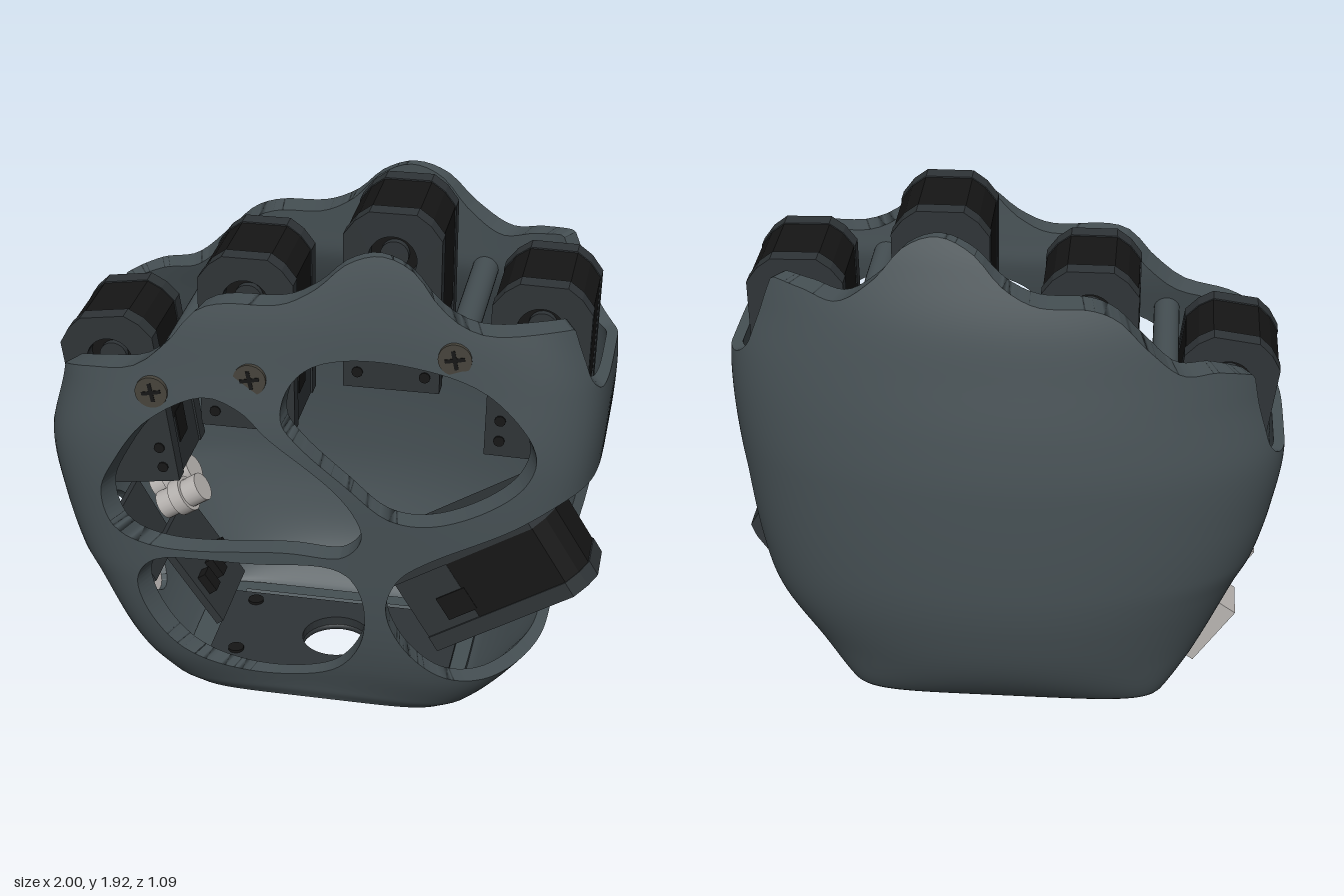
import * as THREE from 'three';
import { mergeVertices } from 'three/addons/utils/BufferGeometryUtils.js';

const mat = (color, side = THREE.FrontSide) => new THREE.MeshStandardMaterial({ color, side });
const SHELL = mat(0x465054), RIM = mat(0x465054, THREE.DoubleSide), BLACK = mat(0x161616);
const DARK = mat(0x2f3437), PALE = mat(0xb9b5b2), BRASS = mat(0x47443c);

function add(parent, name, geo, material, pos = [0, 0, 0], rot = [0, 0, 0]) {
  const m = new THREE.Mesh(geo, material);
  m.name = name;
  m.position.set(...pos);
  m.rotation.set(...rot);
  parent.add(m);
  return m;
}

// Smooth curve through [t, value] pairs
function curve(p) {
  const slope = i => {
    const a = p[Math.max(i - 1, 0)], b = p[Math.min(i + 1, p.length - 1)];
    return (b[1] - a[1]) / (b[0] - a[0]);
  };
  return t => {
    t = Math.min(Math.max(t, p[0][0]), p[p.length - 1][0]);
    let i = 0;
    while (i < p.length - 2 && t > p[i + 1][0]) i++;
    const h = p[i + 1][0] - p[i][0], s = (t - p[i][0]) / h, s2 = s * s, s3 = s2 * s;
    return (2 * s3 - 3 * s2 + 1) * p[i][1] + (s3 - 2 * s2 + s) * h * slope(i)
      + (3 * s2 - 2 * s3) * p[i + 1][1] + (s3 - s2) * h * slope(i + 1);
  };
}

// Palm extents and wall thickness by height
const xLeft = curve([[0, .52], [.05, .59], [.2, .72], [.4, .86], [.6, .92], [.9, .965], [1.2, .995], [1.4, .99], [1.6, .94], [1.95, .9]]);
const xRight = curve([[0, .55], [.05, .61], [.2, .72], [.5, .86], [.6, .91], [.8, .965], [1.05, 1], [1.3, .95], [1.95, .9]]);
const zFront = curve([[0, .385], [.05, .43], [.2, .5], [.4, .54], [.7, .555], [1.1, .555], [1.4, .515], [1.6, .485], [1.83, .43], [1.95, .38]]);
const zBack = curve([[0, .28], [.05, .36], [.2, .46], [.4, .52], [.6, .545], [1, .54], [1.2, .515], [1.4, .475], [1.6, .43], [1.8, .36], [1.95, .3]]);
const wallFront = curve([[0, .04], [.3, .08], [1.2, .09], [1.5, .12], [1.6, .1], [1.83, .035], [1.95, .02]]);
const wallBack = curve([[0, .04], [1, .05], [1.3, .11], [1.5, .155], [1.6, .14], [1.8, .075], [1.95, .02]]);
// Knuckle lines by x on the palm side and on the back of the hand
const palmTop = curve([[-1, 1.25], [-.9, 1.33], [-.8, 1.365], [-.62, 1.4], [-.5, 1.5], [-.42, 1.6], [-.33, 1.635], [-.12, 1.64], [0, 1.7],
  [.1, 1.79], [.22, 1.83], [.34, 1.79], [.42, 1.7], [.5, 1.64], [.6, 1.61], [.88, 1.62], [1, 1.55]]);
const backTop = curve([[-1, 1.27], [-.9, 1.37], [-.75, 1.43], [-.62, 1.44], [-.5, 1.54], [-.4, 1.64], [-.3, 1.68], [-.12, 1.69], [0, 1.75],
  [.1, 1.85], [.22, 1.9], [.34, 1.86], [.44, 1.75], [.57, 1.665], [.7, 1.69], [.85, 1.7], [.97, 1.62]]);
const frontZ = (x, y) => zFront(y) - .055 * Math.exp(-((x / .4) ** 2)) * (1 - Math.exp(-y / .1));

// Horizontal section: boxy at the palm, elliptical at the back of the hand, squarer at the wrist
function section(y, a, inset = 0) {
  const c = Math.cos(a), s = Math.sin(a), n = s > 0 ? 6 : 2.08 + 5 * Math.exp(-y / .07), cz = -.1;
  const r = (Math.abs(c) ** n + Math.abs(s) ** n) ** (-1 / n);
  const x = r * c * ((c > 0 ? xLeft(y) : xRight(y)) - .04 * inset);
  const depth = s > 0 ? frontZ(x, y) - wallFront(y) * inset - cz : zBack(y) - wallBack(y) * inset + cz;
  return [x, y, cz + r * s * depth];
}

// Signed distance to a smooth closed outline, positive outside
function outline(points) {
  const pts = new THREE.CatmullRomCurve3(points.map(p => new THREE.Vector3(p[0], p[1], 0)), true, 'centripetal').getPoints(70);
  return (x, y) => {
    let d = Infinity, inside = false;
    for (let i = 0; i < pts.length - 1; i++) {
      const a = pts[i], b = pts[i + 1], ex = b.x - a.x, ey = b.y - a.y;
      const t = Math.min(1, Math.max(0, ((x - a.x) * ex + (y - a.y) * ey) / (ex * ex + ey * ey || 1)));
      d = Math.min(d, Math.hypot(x - a.x - ex * t, y - a.y - ey * t));
      if ((a.y > y) !== (b.y > y) && x < a.x + ex * (y - a.y) / ey) inside = !inside;
    }
    return inside ? -d : d;
  };
}
const palmWindows = [
  [[-.76, .9], [-.7, 1.04], [-.58, 1.2], [-.38, 1.3], [-.25, 1.25], [-.16, 1.16], [.12, .93], [.18, .8], [.11, .705], [-.1, .7], [-.58, .7], [-.72, .76]],
  [[-.11, 1.22], [-.09, 1.34], [0, 1.43], [.28, 1.475], [.6, 1.41], [.78, 1.2], [.74, 1.07], [.46, .9], [.28, .89], [.12, 1], [-.04, 1.13]],
  [[-.64, .55], [-.57, .64], [-.2, .645], [.11, .64], [.18, .54], [.175, .34], [.06, .18], [-.2, .13], [-.47, .22], [-.61, .4]],
].map(outline);
const thumbWindow = outline([[.27, .5], [.31, .64], [.42, .74], [.7, .9], [.95, 1.04], [1.2, 1.06], [1.2, .38], [.86, .355], [.75, .28], [.63, .225], [.48, .23], [.34, .34]]);

// Intersection of two cuts with a rounded corner
function roundMax(a, b, r) {
  return Math.hypot(Math.max(a + r, 0), Math.max(b + r, 0)) + Math.min(Math.max(a, b) + r, 0) - r;
}

// Positive where the shell has material
function material(x, y, z) {
  let f = (z < 0 ? backTop : palmTop)(x) - y;
  if (z > .2) for (const w of palmWindows) f = Math.min(f, w(x, y));
  if (x > 0) f = Math.min(f, roundMax(thumbWindow(x, y), -.2 - z, .13));
  else f = Math.min(f, Math.max(.15 * (Math.hypot((y - .4) / .2, (z - .07) / .15) - 1), x + .55));
  const slot = roundMax(Math.abs(z - .065) - .315, (x > 0 ? 1.38 : 1.05) - y, .08);
  return Math.min(f, Math.max(slot, .7 - Math.abs(x)));
}

// Hollow shell: every triangle is trimmed at the window edges, then rimmed
function buildShell(group) {
  const U = 180, V = 110, out = [], inn = [], rim = [], rows = [];
  for (let j = 0; j <= V; j++) {
    const y = 1.95 * (j / V) ** 1.2, row = [];
    for (let i = 0; i < U; i++) {
      const a = i / U * Math.PI * 2, o = section(y, a);
      row.push({ o, i: section(y, a, 1), f: material(...o) });
    }
    rows.push(row);
  }
  const mix = (a, b, t) => a.map((v, k) => v + (b[k] - v) * t);
  const trim = tri => {
    const poly = [], cut = [];
    tri.forEach((a, k) => {
      const b = tri[(k + 1) % 3];
      if (a.f > 0) poly.push(a);
      if ((a.f > 0) !== (b.f > 0)) {
        const t = a.f / (a.f - b.f), p = { o: mix(a.o, b.o, t), i: mix(a.i, b.i, t) };
        poly.push(p);
        cut.push(p);
      }
    });
    for (let k = 1; k < poly.length - 1; k++) {
      out.push(...poly[0].o, ...poly[k].o, ...poly[k + 1].o);
      inn.push(...poly[0].i, ...poly[k + 1].i, ...poly[k].i);
    }
    if (cut.length === 2) {
      const [p, q] = cut;
      rim.push(...p.o, ...q.o, ...q.i, ...p.o, ...q.i, ...p.i);
    }
  };
  for (let j = 0; j < V; j++) for (let i = 0; i < U; i++) {
    const n = (i + 1) % U, a = rows[j][i], b = rows[j][n], c = rows[j + 1][n], d = rows[j + 1][i];
    trim([a, d, c]);
    trim([a, c, b]);
  }
  [['outerShell', out, SHELL], ['innerShell', inn, RIM], ['shellRim', rim, RIM]].forEach(([name, pos, m]) => {
    let g = new THREE.BufferGeometry();
    g.setAttribute('position', new THREE.Float32BufferAttribute(pos, 3));
    g = mergeVertices(g, 1e-5);
    g.computeVertexNormals();
    add(group, name, g, m);
  });
}

const circleHole = (x, y, r) => new THREE.Path().absarc(x, y, r, 0, Math.PI * 2, true);
const corners = pts => pts.map(p => new THREE.Vector2(...p));
const extrude = (shape, depth) => new THREE.ExtrudeGeometry(shape, { depth, bevelEnabled: false, curveSegments: 20 });
const disc = (r, h, seg = 24) => new THREE.CylinderGeometry(r, r, h, seg).rotateX(Math.PI / 2);

// Finger drive: chamfered block with black core, grey cheeks and hubs; its top is the origin
function motor(name, pos, rot) {
  const g = new THREE.Group(), H = .67;
  g.name = name;
  const block = (w, top, bottom, c) => new THREE.Shape(corners([[-w, bottom], [w, bottom], [w, top - c], [w - c * .45, top - c * .4],
    [w - c, top], [c - w, top], [c * .45 - w, top - c * .4], [-w, top - c]]));
  add(g, 'motorCore', extrude(block(.168, -.005, -.45, .085), .25), BLACK, [0, 0, -.125]);
  add(g, 'motorFoot', extrude(block(.165, -.45, -H, .002), .25), DARK, [0, 0, -.125]);
  for (const s of [-1, 1]) {
    const cheek = block(.172, 0, -H, .09);
    cheek.holes.push(circleHole(0, -.17, .085));
    add(g, 'motorCheek', extrude(cheek, .065), DARK, [0, 0, s > 0 ? .125 : -.19]);
    add(g, 'motorHub', disc(.05, .03), DARK, [0, -.17, s * .135]);
    add(g, 'stepPanel', new THREE.BoxGeometry(.02, .12, .1), BLACK, [s * .16, -.5, .04]);
    for (const x of [-.12, .12]) for (const y of [-.53, -.61])
      add(g, 'motorScrew', disc(.02, .01, 12), BLACK, [x, y, s * .191]);
  }
  g.position.set(...pos);
  g.rotation.set(...rot, 'ZYX');
  return g;
}

export function createModel() {
  const hand = new THREE.Group();
  hand.name = 'roboticPalm';
  buildShell(hand);

  // Base: open floor rim with a narrower wrist plate across it
  const foot = [];
  for (let i = 0; i < 64; i++) {
    const p = section(0, i / 64 * Math.PI * 2);
    foot.push(new THREE.Vector2(p[0], -p[2]));
  }
  const floor = new THREE.Shape(foot);
  floor.holes.push(new THREE.Path(corners([[-.42, -.34], [-.42, .22], [.42, .22], [.42, -.34]])));
  add(hand, 'floorRim', extrude(floor, .05).rotateX(-Math.PI / 2), SHELL);
  const plate = new THREE.Shape(corners([[-.46, -.29], [.46, -.29], [.46, .18], [-.46, .18]]));
  plate.holes.push(circleHole(0, -.06, .13));
  add(hand, 'wristPlate', extrude(plate, .05).rotateX(-Math.PI / 2), DARK, [0, .015, 0]);
  add(hand, 'wristRing', new THREE.TorusGeometry(.14, .015, 8, 40).rotateX(Math.PI / 2), DARK, [0, .02, .06]);
  for (const x of [-.36, .36]) for (const z of [-.12, .22])
    add(hand, 'baseScrew', new THREE.CylinderGeometry(.03, .03, .07, 16), BLACK, [x, .04, z]);

  // Four finger drives and the thumb drive
  hand.add(motor('littleFingerMotor', [-.81, 1.45, .07], [0, 0, .14]));
  hand.add(motor('ringFingerMotor', [-.29, 1.71, .04], [0, 0, 0]));
  hand.add(motor('middleFingerMotor', [.23, 1.92, .04], [0, 0, 0]));
  hand.add(motor('indexFingerMotor', [.755, 1.71, .07], [0, 0, -.02]));
  hand.add(motor('thumbMotor', [.895, .695, .085], [0, Math.PI / 2, -1.02]));

  // Posts across the hollow with cross-head screws on the palm
  for (const [x, y, back] of [[-.56, 1.31, -.32], [-.22, 1.37, .22], [.49, 1.52, -.32]]) {
    const z = frontZ(x, y), front = z - .03;
    add(hand, 'crossPost', disc(.048, front - back), SHELL, [x, y, (front + back) / 2]);
    add(hand, 'screwHead', disc(.058, .03), BRASS, [x, y, z - .01]);
    for (const r of [0, Math.PI / 2])
      add(hand, 'screwSlot', new THREE.BoxGeometry(.07, .014, .004), BLACK, [x, y, z + .005], [0, 0, r + .2]);
  }

  // Cable connector, plugs and circuit board
  add(hand, 'connectorBlock', new THREE.BoxGeometry(.1, .27, .18), PALE, [-.745, .18, .03], [0, 0, .6]);
  add(hand, 'connectorSocket', new THREE.CylinderGeometry(.045, .045, .02, 20), BLACK, [-.667, .066, .03], [0, 0, .6]);
  add(hand, 'sideClip', new THREE.BoxGeometry(.06, .1, .08), PALE, [-.87, .47, .05], [0, 0, .6]);
  for (const [x, y, z] of [[-.57, .67, .13], [-.67, .6, -.12]]) {
    add(hand, 'plug', new THREE.CylinderGeometry(.055, .055, .18, 20), PALE, [x, y, z], [0, 0, -1]);
    add(hand, 'plugCollar', new THREE.CylinderGeometry(.07, .07, .05, 20), PALE, [x, y, z], [0, 0, -1]);
  }
  add(hand, 'connectorBracket', new THREE.BoxGeometry(.03, .3, .3), DARK, [-.75, .46, .07], [0, 0, .5]);
  add(hand, 'circuitBoard', new THREE.BoxGeometry(.03, .4, .36), DARK, [-.53, .35, .05], [0, 0, .6]);
  for (const z of [-.06, .05, .16]) add(hand, 'boardChip', new THREE.BoxGeometry(.05, .08, .06), BLACK, [-.48, .32, z], [0, 0, .6]);
  return hand;
}
